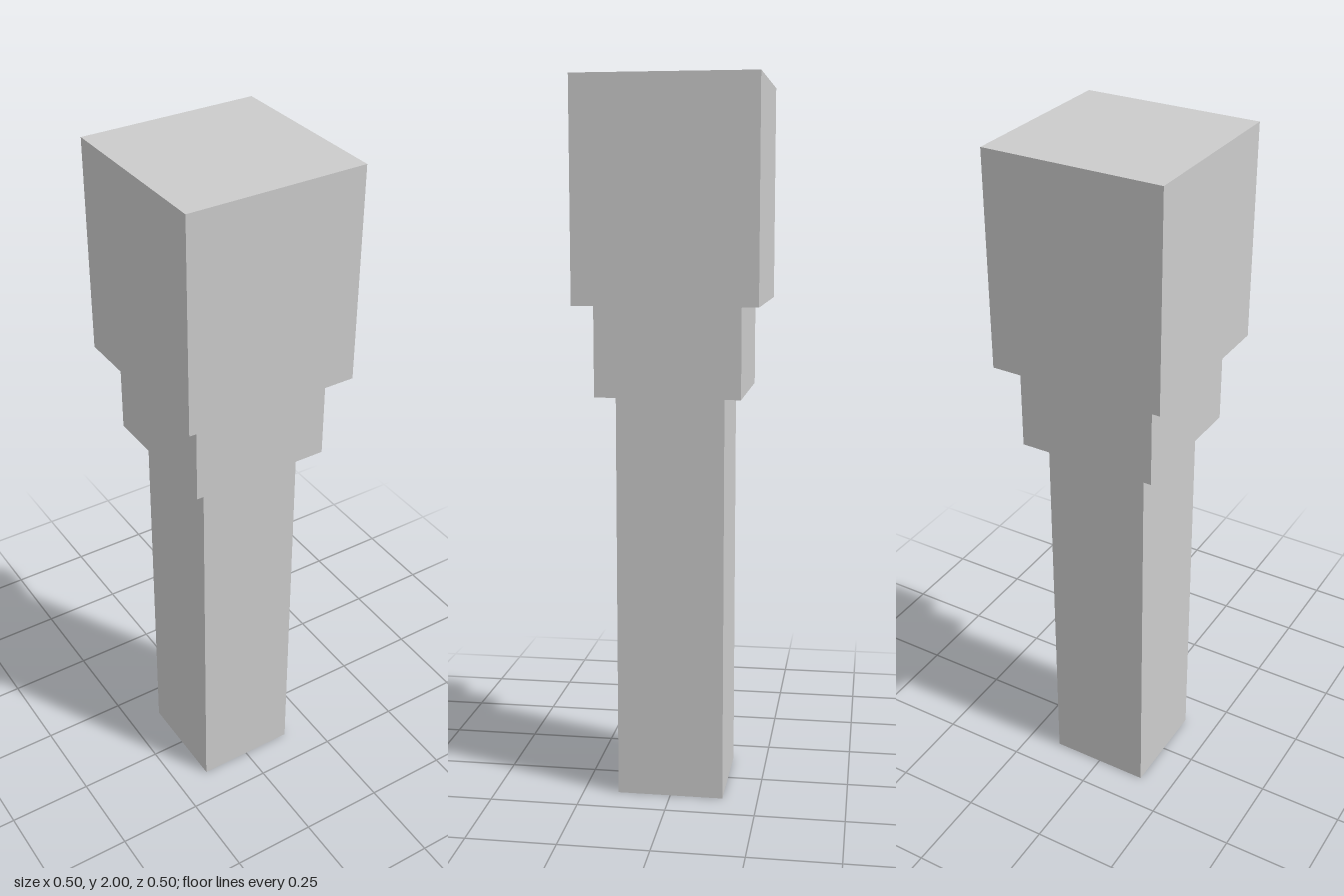
import * as THREE from 'three';

export function createModel() {
  const group = new THREE.Group();
  const material = new THREE.MeshStandardMaterial({ color: 0xcccccc, flatShading: true });

  // Square block of the given width between two heights
  const addBlock = (name, width, bottom, top) => {
    const mesh = new THREE.Mesh(new THREE.BoxGeometry(width, top - bottom, width), material);
    mesh.name = name;
    mesh.position.y = (bottom + top) / 2;
    group.add(mesh);
  };

  addBlock('shaft', 0.3, 0, 1.15);
  addBlock('collar', 0.4, 1.15, 1.4);
  addBlock('head', 0.5, 1.4, 2);

  return group;
}
